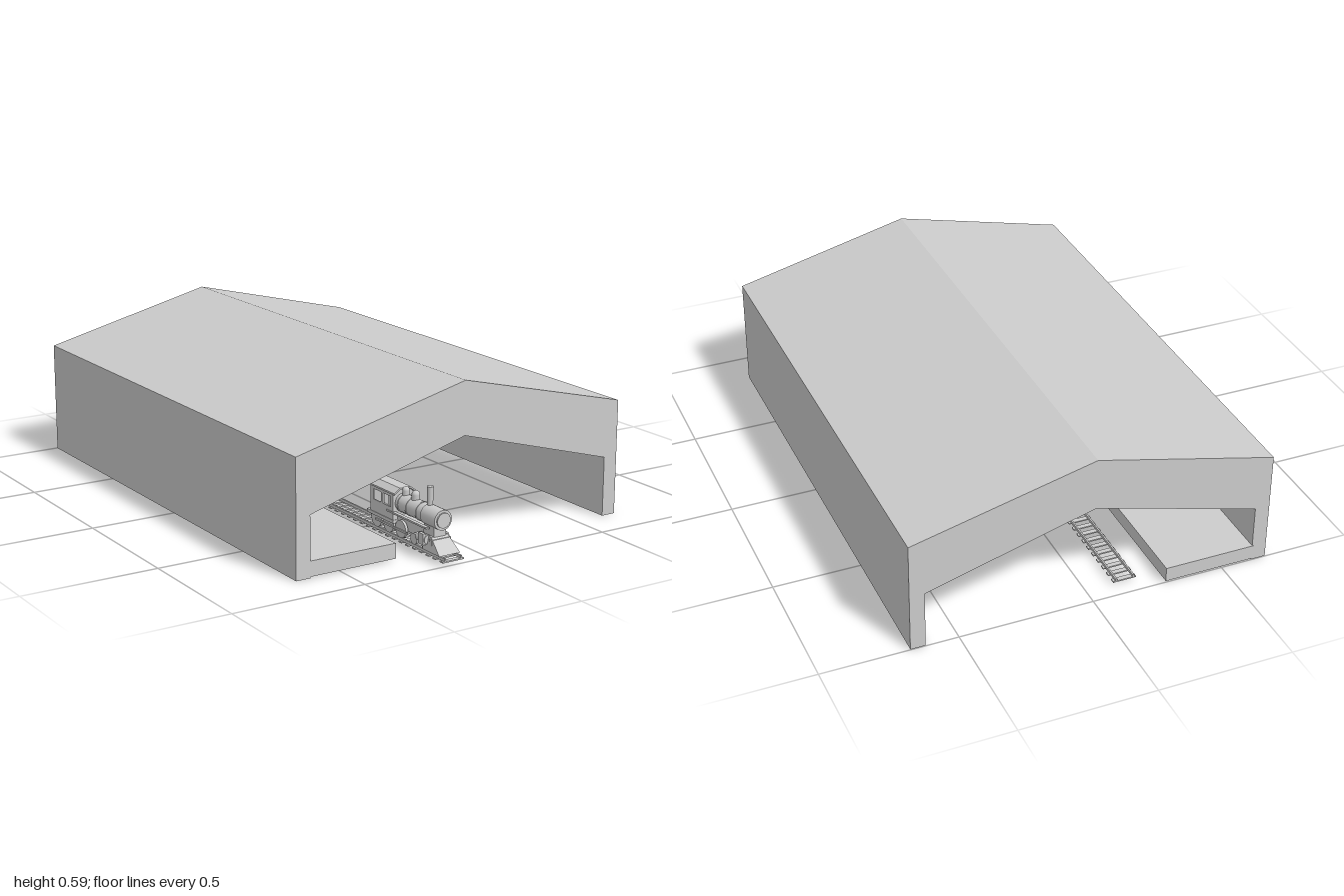
import * as THREE from 'three';

const grey = new THREE.MeshStandardMaterial({ color: 0xcccccc });
grey.name = 'plain grey';

function add(parent, name, geometry, x = 0, y = 0, z = 0) {
  const mesh = new THREE.Mesh(geometry, grey);
  mesh.name = name;
  mesh.position.set(x, y, z);
  parent.add(mesh);
  return mesh;
}

const box = (w, h, d) => new THREE.BoxGeometry(w, h, d);

// cylinder lying along z or x
const rodZ = (r, len, sides = 24) => new THREE.CylinderGeometry(r, r, len, sides).rotateX(Math.PI / 2);
const rodX = (r, len, sides = 20) => new THREE.CylinderGeometry(r, r, len, sides).rotateZ(Math.PI / 2);

// outline in x, y pushed along z from z0 to z1
function prism(points, z0, z1) {
  const shape = new THREE.Shape(points.map(([x, y]) => new THREE.Vector2(x, y)));
  const g = new THREE.ExtrudeGeometry(shape, { depth: z1 - z0, bevelEnabled: false });
  return g.translate(0, 0, z0);
}

function buildShed() {
  const shed = new THREE.Group();
  shed.name = 'trainShed';
  // walls and pitched roof as one portal section
  add(shed, 'wallsAndRoof', prism([
    [-0.675, 0], [-0.62, 0], [-0.62, 0.22], [0, 0.395], [0.62, 0.22], [0.62, 0],
    [0.675, 0], [0.675, 0.425], [0, 0.59], [-0.675, 0.425],
  ], -0.998, 0.855));
  add(shed, 'platform', box(0.345, 0.055, 1.855), -0.4525, 0.0325, -0.0725);
  return shed;
}

function buildTrack() {
  const track = new THREE.Group();
  track.name = 'track';
  for (const s of [-1, 1]) add(track, 'rail', box(0.006, 0.011, 1.95), s * 0.033, 0.0225, 0.025);
  const count = 48;
  for (let i = 0; i < count; i++) {
    add(track, 'sleeper', box(0.088, 0.005, 0.018), 0, 0.0155, 0.991 - (i * 1.93) / (count - 1));
  }
  return track;
}

function buildLocomotive() {
  const loco = new THREE.Group();
  loco.name = 'locomotive';

  // boiler, smokebox and door
  add(loco, 'boiler', rodZ(0.033, 0.19), 0, 0.14, 0.775);
  add(loco, 'smokebox', rodZ(0.036, 0.085), 0, 0.14, 0.895);
  add(loco, 'smokeboxDoor', rodZ(0.027, 0.006), 0, 0.14, 0.94);
  for (const z of [0.82, 0.76, 0.71]) add(loco, 'boilerBand', rodZ(0.035, 0.006), 0, 0.14, z);

  // chimney and domes
  add(loco, 'chimney', new THREE.CylinderGeometry(0.012, 0.01, 0.075, 16), 0, 0.2025, 0.86);
  for (const [z, r] of [[0.775, 0.015], [0.715, 0.013]]) {
    add(loco, 'domeBase', new THREE.CylinderGeometry(r, r, 0.03, 16), 0, 0.173, z);
    add(loco, 'domeCap', new THREE.SphereGeometry(r, 16, 8, 0, Math.PI * 2, 0, Math.PI / 2), 0, 0.188, z);
  }

  // frame, running boards and saddle
  add(loco, 'frame', box(0.044, 0.04, 0.38), 0, 0.075, 0.72);
  add(loco, 'saddle', box(0.05, 0.05, 0.06), 0, 0.09, 0.89);
  add(loco, 'bufferBeam', box(0.08, 0.022, 0.016), 0, 0.062, 0.92);
  for (const s of [-1, 1]) {
    add(loco, 'runningBoard', box(0.014, 0.006, 0.24), s * 0.037, 0.108, 0.78);
    add(loco, 'steamChest', rodZ(0.016, 0.055, 16), s * 0.036, 0.068, 0.875);
    add(loco, 'couplingRod', box(0.004, 0.007, 0.2), s * 0.043, 0.058, 0.69);
  }
  add(loco, 'sidePump', box(0.012, 0.04, 0.03), -0.049, 0.07, 0.885);

  // driving wheels and small leading wheels with axles
  const wheels = [[0.59, 0.032], [0.665, 0.032], [0.74, 0.032], [0.82, 0.02], [0.885, 0.02]];
  for (const [z, r] of wheels) {
    add(loco, 'axle', rodX(0.005, 0.07, 10), 0, 0.028 + r, z);
    for (const s of [-1, 1]) add(loco, 'wheel', rodX(r, 0.01), s * 0.034, 0.028 + r, z);
  }

  // sloping pilot: wide toe, narrow top
  const pilot = box(0.086, 0.05, 0.1);
  const p = pilot.attributes.position;
  for (let i = 0; i < p.count; i++) {
    if (p.getY(i) > 0) {
      p.setX(i, p.getX(i) * 0.8);
      if (p.getZ(i) > 0) p.setZ(i, -0.01);
    }
  }
  pilot.computeVertexNormals();
  add(loco, 'pilot', pilot, 0, 0.055, 0.928);

  // cab: floor, pierced sides, front wall and roof
  add(loco, 'cabFloor', box(0.086, 0.012, 0.165), 0, 0.075, 0.6175);
  const side = new THREE.Shape([[0, 0], [0.14, 0], [0.14, 0.1], [0, 0.1]].map(([x, y]) => new THREE.Vector2(x, y)));
  for (const x of [0.02, 0.08]) {
    side.holes.push(new THREE.Path([[x, 0.05], [x, 0.088], [x + 0.045, 0.088], [x + 0.045, 0.05]]
      .map(([a, b]) => new THREE.Vector2(a, b))));
  }
  const sideGeo = new THREE.ExtrudeGeometry(side, { depth: 0.005, bevelEnabled: false }).rotateY(-Math.PI / 2);
  for (const x of [-0.036, 0.041]) add(loco, 'cabSide', sideGeo, x, 0.075, 0.555);
  add(loco, 'cabFront', prism([
    [-0.041, 0.075], [0.041, 0.075], [0.041, 0.176], [0.02, 0.19], [-0.02, 0.19], [-0.041, 0.176],
  ], 0.692, 0.697));
  add(loco, 'cabRoof', prism([
    [-0.045, 0.174], [-0.022, 0.19], [0.022, 0.19], [0.045, 0.174],
    [0.045, 0.18], [0.022, 0.197], [-0.022, 0.197], [-0.045, 0.18],
  ], 0.53, 0.71));
  return loco;
}

export function createModel() {
  const model = new THREE.Group();
  model.name = 'stationWithTrain';
  const line = new THREE.Group();
  line.name = 'railwayLine';
  line.position.x = -0.145;
  line.add(buildTrack(), buildLocomotive());
  model.add(buildShed(), line);
  return model;
}
